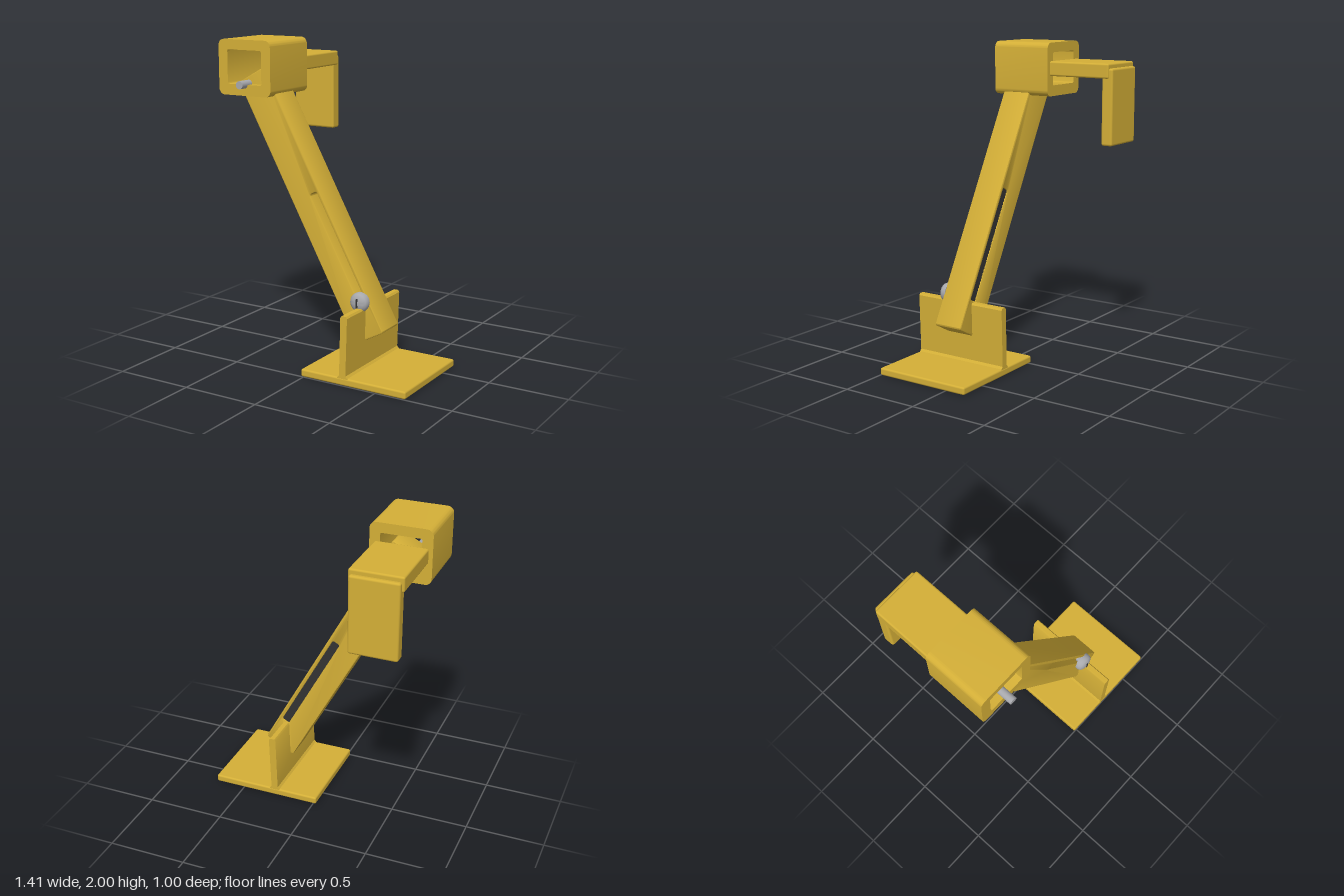
import * as THREE from 'three';
import { RoundedBoxGeometry } from 'three/addons/geometries/RoundedBoxGeometry.js';
import { toCreasedNormals } from 'three/addons/utils/BufferGeometryUtils.js';

const mat = (name, color) => Object.assign(new THREE.MeshStandardMaterial({ color }), { name });

// Rounded rectangle outline, for both shapes and holes
function roundRect(Type, x0, y0, x1, y1, r) {
  const p = new Type();
  p.moveTo(x0 + r, y0);
  p.lineTo(x1 - r, y0);
  p.absarc(x1 - r, y0 + r, r, -Math.PI / 2, 0);
  p.lineTo(x1, y1 - r);
  p.absarc(x1 - r, y1 - r, r, 0, Math.PI / 2);
  p.lineTo(x0 + r, y1);
  p.absarc(x0 + r, y1 - r, r, Math.PI / 2, Math.PI);
  p.lineTo(x0, y0 + r);
  p.absarc(x0 + r, y0 + r, r, Math.PI, Math.PI * 1.5);
  return p;
}

// Extrusion from z0 to z1 with an optional small edge bevel
function extrude(shape, z0, z1, bevel = 0) {
  const g = new THREE.ExtrudeGeometry(shape, {
    depth: z1 - z0 - 2 * bevel, curveSegments: 6, bevelEnabled: bevel > 0,
    bevelThickness: bevel, bevelSize: bevel, bevelOffset: -bevel, bevelSegments: 2,
  });
  g.translate(0, 0, z0 + bevel);
  return toCreasedNormals(g, 0.6);
}

export function createModel() {
  const gold = mat('gold', 0xd4af37);
  const steel = mat('steel', 0xa8a9ad);
  const dark = mat('dark', 0x333333);
  const model = new THREE.Group();
  model.name = 'adjustableStand';

  const add = (name, geometry, material, parent = model) => {
    const mesh = new THREE.Mesh(geometry, material);
    mesh.name = name;
    parent.add(mesh);
    return mesh;
  };
  const slab = (name, x0, x1, y0, y1, z0, z1, r = 0.012) => {
    const g = new RoundedBoxGeometry(x1 - x0, y1 - y0, z1 - z0, 2, r);
    add(name, g, gold).position.set((x0 + x1) / 2, (y0 + y1) / 2, (z0 + z1) / 2);
  };

  // Base plate and upright fin
  slab('basePlate', -0.02, 0.7, 0, 0.048, -0.14, 0.5);
  const fin = new THREE.Shape([
    [0.24, 0.03], [0.31, 0.03], [0.31, 0.046], [0.297, 0.062], [0.308, 0.42], [0.3, 0.432],
    [0.27, 0.432], [0.262, 0.42], [0.253, 0.062], [0.24, 0.046],
  ].map(([x, y]) => new THREE.Vector2(x, y)));
  add('uprightFin', extrude(fin, -0.138, 0.498), gold);

  // Leaning arm with an off-centre adjustment slot
  const armGroup = new THREE.Group();
  armGroup.name = 'leaningArm';
  armGroup.position.set(0.335, 0.24, 0);
  armGroup.rotation.z = Math.atan2(0.48, 0.877);
  model.add(armGroup);
  const arm = roundRect(THREE.Shape, -0.108, 0, 0.108, 1.762, 0.014);
  const slotX = 0.057;
  arm.holes.push(roundRect(THREE.Path, slotX - 0.025, 0.2, slotX + 0.025, 0.94, 0.012));
  add('arm', extrude(arm, 0.087, 0.28, 0.008), gold, armGroup);

  // Toothed rack lying in the back of the slot
  const rack = [];
  const teeth = 36, pitch = 0.736 / teeth;
  for (let i = 0; i <= teeth * 2; i++)
    rack.push(new THREE.Vector2(slotX + (i % 2 ? 0.031 : 0.021), 0.202 + i * pitch / 2));
  for (let i = teeth * 2; i >= 0; i--)
    rack.push(new THREE.Vector2(slotX - (i % 2 ? 0.031 : 0.021), 0.202 + i * pitch / 2));
  add('slotRack', extrude(new THREE.Shape(rack), 0.093, 0.2), dark, armGroup);

  // Clamping knob with a screwdriver slot
  const knobProfile = [[0, 0.25], [0.022, 0.25], [0.022, 0.275], [0.06, 0.275], [0.061, 0.298],
    [0.054, 0.314], [0.038, 0.324], [0.018, 0.329], [0, 0.33]]
    .map(([r, y]) => new THREE.Vector2(r, y));
  const knob = toCreasedNormals(new THREE.LatheGeometry(knobProfile, 32).rotateX(Math.PI / 2), 0.7);
  add('clampKnob', knob, steel).position.set(0.273, 0.463, 0);
  add('knobSlot', new THREE.BoxGeometry(0.009, 0.056, 0.009), dark).position.set(0.273, 0.463, 0.328);

  // Hollow square sleeve on top of the arm
  const sleeve = roundRect(THREE.Shape, -0.706, 1.66, -0.323, 2, 0.04);
  sleeve.holes.push(roundRect(THREE.Path, -0.64, 1.728, -0.389, 1.938, 0.01));
  add('sleeve', extrude(sleeve, -0.057, 0.345), gold);

  // Set screw in the sleeve front
  const screw = new THREE.CylinderGeometry(0.025, 0.025, 0.1, 20).rotateX(Math.PI / 2);
  add('setScrew', screw, steel).position.set(-0.516, 1.73, 0.347);

  // Rear bracket: horizontal tongue and hanging plate
  slab('rearTongue', -0.68, -0.352, 1.79, 1.883, -0.478, -0.045);
  slab('hangingPlate', -0.665, -0.362, 1.372, 1.853, -0.503, -0.427, 0.014);

  return model;
}
